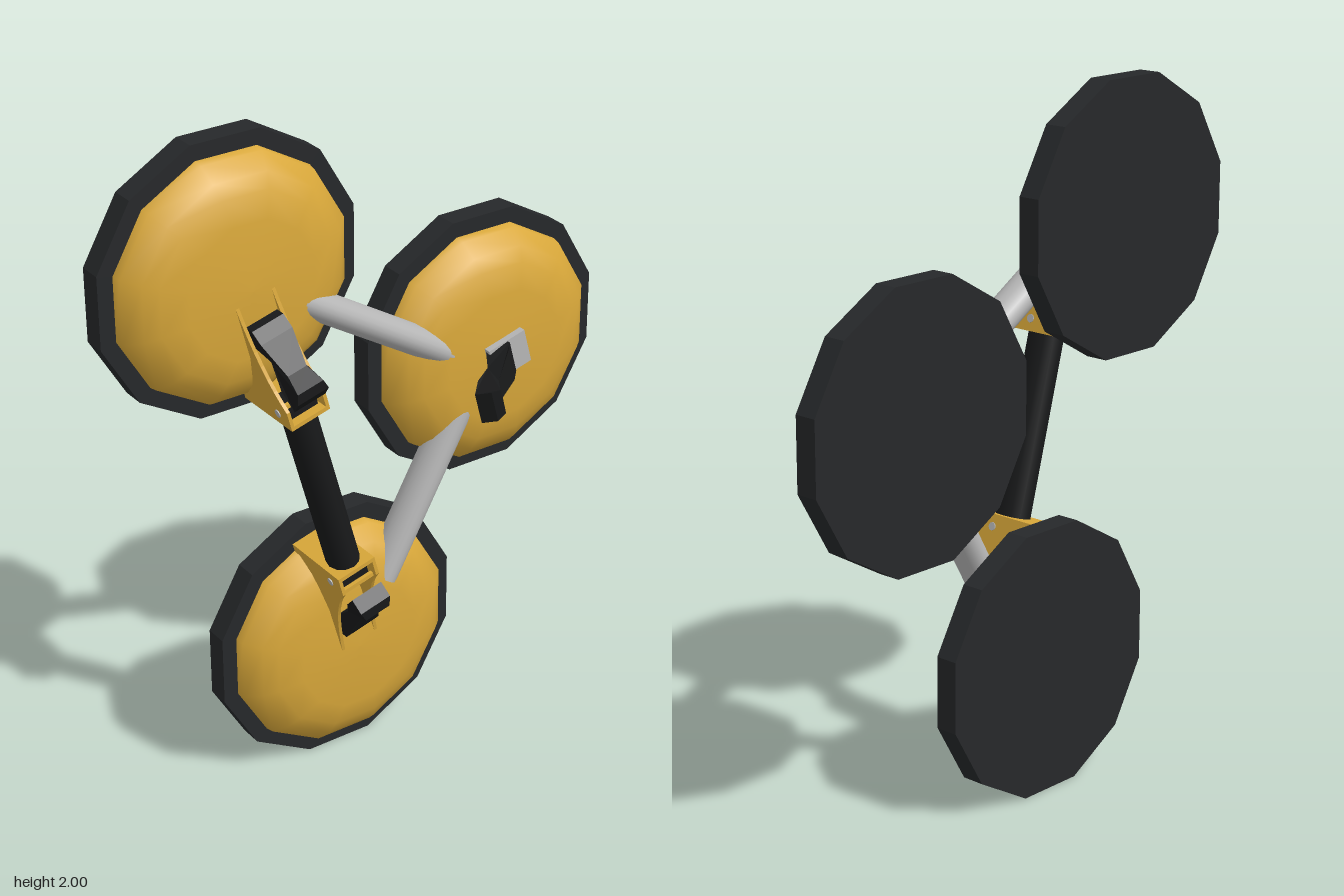
import * as THREE from 'three';

const mat = (name, color) => {
  const m = new THREE.MeshStandardMaterial({ color });
  m.name = name;
  return m;
};

export function createModel() {
  const gold = mat('gold paint', 0xd9a83a);
  const rubber = mat('dark rubber', 0x26282a);
  const black = mat('black plastic', 0x18191a);
  const grey = mat('grey metal', 0xb6b6b6);
  const model = new THREE.Group();
  model.name = 'suctionLifter';

  const add = (parent, name, geo, material, x = 0, y = 0, z = 0) => {
    const mesh = new THREE.Mesh(geo, material);
    mesh.name = name;
    mesh.position.set(x, y, z);
    parent.add(mesh);
    return mesh;
  };
  const flat = (geo) => {
    const g = geo.index ? geo.toNonIndexed() : geo;
    g.computeVertexNormals();
    return g;
  };
  const frame = (name, y, z, degrees) => {
    const g = new THREE.Group();
    g.name = name;
    g.position.set(0, y, z);
    g.rotation.x = THREE.MathUtils.degToRad(degrees);
    model.add(g);
    return g;
  };

  // Suction cups: twelve-sided rubber pad with a smooth dome, facing +x
  const k = 1 / Math.cos(Math.PI / 12);
  const padGeo = flat(new THREE.CylinderGeometry(0.39 * k, 0.39 * k, 0.068, 12)
    .rotateY(Math.PI / 12).rotateZ(-Math.PI / 2));
  const domeProfile = [[0.345, -0.11], [0.34, -0.08], [0.3, -0.04], [0.26, -0.02], [0.19, 0.003], [0, 0.007]]
    .map(([r, h]) => new THREE.Vector2(r * k, h));
  const domeGeo = new THREE.LatheGeometry(domeProfile, 12)
    .rotateY(Math.PI / 12).rotateZ(-Math.PI / 2);
  for (const [name, y, z] of [['upper', 1.61, 0.415], ['rear', 1.18, -0.41], ['lower', 0.39, 0.09]]) {
    add(model, name + 'Pad', padGeo, rubber, -0.141, y, z);
    add(model, name + 'Dome', domeGeo, gold, 0, y, z);
  }

  // Round bars between two (y, z) points, oval in section
  const bar = (name, a, b, x, rx, rz, sides, material) => {
    const dy = b[0] - a[0], dz = b[1] - a[1];
    const geo = new THREE.CylinderGeometry(1, 1, Math.hypot(dy, dz), sides).scale(rx, 1, rz);
    const mesh = add(model, name, geo, material, x, (a[0] + b[0]) / 2, (a[1] + b[1]) / 2);
    mesh.rotation.x = Math.atan2(dz, dy);
  };
  bar('upperStrut', [1.525, 0.25], [1.225, -0.235], -0.051, 0.055, 0.043, 20, grey);
  bar('lowerStrut', [1.035, -0.285], [0.565, -0.02], -0.051, 0.055, 0.043, 20, grey);
  bar('handle', [0.745, 0.18], [1.256, 0.32], 0.055, 0.055, 0.046, 12, black);

  // Lever: bent profile, wide at both ends and narrow in the waist
  const leverShape = new THREE.Shape([
    [0, 0.28], [0.035, 0.28], [0.065, 0.25], [0.125, 0.165], [0.175, 0.135],
    [0.175, 0.105], [0.145, 0.07], [0.1, 0.115], [0.055, 0.18], [0, 0.22],
  ].map(([x, y]) => new THREE.Vector2(x, y)));
  const leverGeo = new THREE.ExtrudeGeometry(leverShape, { depth: 1, bevelEnabled: false });
  const p = leverGeo.attributes.position;
  for (let i = 0; i < p.count; i++) {
    const half = 0.028 + 0.022 * Math.min(1, Math.abs(p.getY(i) - 0.17) / 0.06);
    p.setZ(i, (p.getZ(i) - 0.5) * 2 * half);
  }
  leverGeo.computeVertexNormals();

  // Bracket cheek: hollow-curved gusset
  const cheek = new THREE.Shape();
  cheek.moveTo(-0.107, 0);
  cheek.lineTo(0.122, 0);
  cheek.lineTo(0.122, 0.06);
  cheek.quadraticCurveTo(0.035, 0.15, 0.004, 0.355);
  cheek.lineTo(-0.107, 0.355);
  const cheekGeo = new THREE.ExtrudeGeometry(cheek, { depth: 0.01, bevelEnabled: false, curveSegments: 8 });

  // Handle brackets, each with cheeks, end plate, pivot and lever
  for (const [name, y, z, angle] of [['upper', 1.256, 0.32, 15], ['lower', 0.745, 0.18, 195]]) {
    const g = frame(name + 'Bracket', y, z, angle);
    for (const s of [-1, 1]) add(g, 'cheek', cheekGeo, gold, 0, 0, s * 0.057 - 0.005);
    add(g, 'endPlate', new THREE.BoxGeometry(0.229, 0.012, 0.124), gold, 0.0075, 0.006, 0);
    add(g, 'crossBar', new THREE.BoxGeometry(0.012, 0.012, 0.11), gold, 0.1, 0.066, 0);
    add(g, 'pivotBlock', new THREE.BoxGeometry(0.08, 0.035, 0.085), black, 0.06, 0.036, 0);
    add(g, 'pivotPin', new THREE.CylinderGeometry(0.012, 0.012, 0.13, 10).rotateX(Math.PI / 2), grey, 0.07, 0.036, 0);
    add(g, 'lever', leverGeo, black);
  }

  // Rear cup lever on its own mounting plate
  const rear = frame('rearLever', 1.115, -0.15, -75);
  add(rear, 'mountingPlate', new THREE.BoxGeometry(0.03, 0.127, 0.107), grey, 0.011, 0.272, 0);
  add(rear, 'lever', leverGeo, black, 0, -0.005, 0);

  return model;
}
